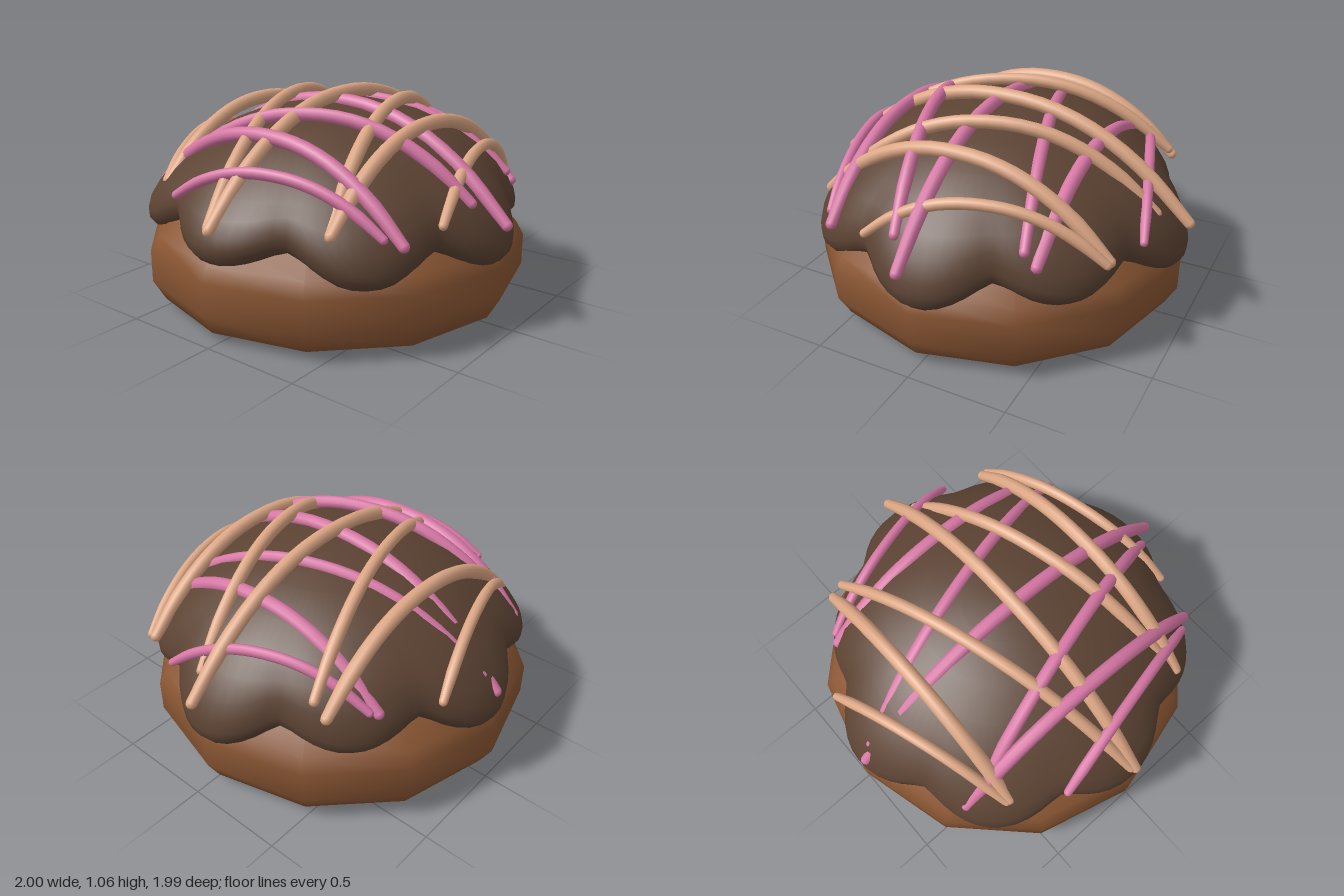
import * as THREE from 'three';
import { mergeGeometries, mergeVertices } from 'three/addons/utils/BufferGeometryUtils.js';

const material = (name, color) => {
  const m = new THREE.MeshStandardMaterial({ color });
  m.name = name;
  return m;
};

const profile = (pts) => pts.map(([r, y]) => new THREE.Vector2(r, y));

// Twelve-sided bun with a flat bottom
function bunGeometry() {
  return new THREE.LatheGeometry(profile([
    [0, 0], [0.78, 0], [0.91, 0.045], [0.97, 0.15], [0.97, 0.31],
    [0.93, 0.38], [0.85, 0.47], [0.72, 0.57], [0.45, 0.68], [0, 0.72],
  ]), 12);
}

// Icing dome: each ring is [radius, height, radial lobe weight, vertical lobe weight]
function icingGeometry() {
  const rings = [
    [0.78, 0.41, 1, 1], [0.87, 0.348, 1, 1], [0.91, 0.35, 1, 1], [0.937, 0.385, 1, 1],
    [0.94, 0.43, 1, 0.95], [0.927, 0.49, 0.95, 0.8], [0.89, 0.57, 0.75, 0.5],
    [0.82, 0.665, 0.4, 0.2], [0.71, 0.765, 0.12, 0], [0.57, 0.855, 0, 0],
    [0.4, 0.925, 0, 0], [0.2, 0.97, 0, 0], [0, 0.985, 0, 0],
  ];
  // Eight drips, counted from +x towards +z
  const reach = [0.97, 0.93, 0.965, 0.97, 0.97, 0.98, 0.975, 0.9];
  const bottom = [0.32, 0.37, 0.33, 0.34, 0.39, 0.38, 0.35, 0.375];
  const blend = (list, u) => {
    const i = Math.floor(u), f = THREE.MathUtils.smoothstep(u - i, 0, 1);
    return list[i % 8] * (1 - f) + list[(i + 1) % 8] * f;
  };
  const geo = new THREE.LatheGeometry(profile(rings), 96);
  const pos = geo.attributes.position;
  for (let i = 0; i < pos.count; i++) {
    const [r, y, kr, ky] = rings[i % rings.length];
    const a = Math.atan2(pos.getZ(i), pos.getX(i));
    const u = ((a / (Math.PI / 4)) + 8 + 1e-6) % 8;
    const valley = 1 - Math.min(1, Math.sqrt(Math.cos(4 * a) ** 2 + 0.02));
    const radius = r + kr * (blend(reach, u) - 0.94 - 0.11 * valley);
    const height = y + ky * (blend(bottom, u) - 0.35 + 0.12 * valley);
    if (r === 0) pos.setXYZ(i, 0, height, 0);
    else pos.setXYZ(i, radius * Math.cos(a), height, radius * Math.sin(a));
  }
  geo.deleteAttribute('normal');
  geo.deleteAttribute('uv');
  const merged = mergeVertices(geo, 1e-4);
  merged.computeVertexNormals();
  return merged;
}

// Arched drizzle strand, slightly thinner at its rounded ends
function strandGeometry([x0, y0, z0], [x1, y1, z1], apex, radius) {
  const points = [];
  for (let i = 0; i <= 10; i++) {
    const t = i / 10, s = Math.abs(2 * t - 1);
    points.push(new THREE.Vector3(
      x0 + (x1 - x0) * t,
      y0 + (y1 - y0) * t + (apex - (y0 + y1) / 2) * (1 - s ** 2.2),
      z0 + (z1 - z0) * t,
    ));
  }
  const curve = new THREE.CatmullRomCurve3(points);
  const n = 24, sides = 10;
  const tube = new THREE.TubeGeometry(curve, n, radius, sides);
  const pos = tube.attributes.position, v = new THREE.Vector3();
  for (let i = 0; i < pos.count; i++) {
    const t = Math.floor(i / (sides + 1)) / n;
    const c = curve.getPointAt(t);
    const taper = Math.min(1, 0.75 + Math.min(t, 1 - t) * 2);
    v.fromBufferAttribute(pos, i).sub(c).multiplyScalar(taper).add(c);
    pos.setXYZ(i, v.x, v.y, v.z);
  }
  const caps = [points[0], points[10]].map((p) =>
    new THREE.SphereGeometry(radius * 0.75, 10, 8).translate(p.x, p.y, p.z));
  return mergeGeometries([tube, ...caps]);
}

export function createModel() {
  const model = new THREE.Group();
  model.name = 'icedBun';
  const bunBrown = material('bun brown', 0x8a5633);
  const chocolate = material('chocolate icing', 0x5c4333);
  const caramel = material('caramel drizzle', 0xdca684);
  const pink = material('pink drizzle', 0xd676a4);

  const add = (name, geo, mat, parent = model) => {
    const mesh = new THREE.Mesh(geo, mat);
    mesh.name = name;
    parent.add(mesh);
    return mesh;
  };

  add('bun', bunGeometry(), bunBrown).position.set(-0.03, 0, -0.03);
  add('icing', icingGeometry(), chocolate).position.set(-0.01, 0, -0.02);

  // Strands: start, end, apex height, thickness
  const drizzles = {
    caramelDrizzle: [caramel, [
      [[-0.33, 0.57, 0.8], [0.76, 0.56, 0.53], 0.79, 0.028],
      [[-0.74, 0.57, 0.5], [0.76, 0.56, 0.5], 0.925, 0.036],
      [[-0.73, 0.57, 0.48], [0.83, 0.61, 0.08], 1.0, 0.033],
      [[-0.965, 0.55, 0], [0.97, 0.55, 0], 1.022, 0.036],
      [[-0.95, 0.56, -0.02], [0.7, 0.67, -0.5], 1.0, 0.031],
      [[-0.68, 0.61, -0.57], [0.7, 0.61, -0.57], 0.93, 0.036],
      [[-0.68, 0.61, -0.59], [0.27, 0.6, -0.88], 0.8, 0.027],
    ]],
    pinkDrizzle: [pink, [
      [[-0.84, 0.62, -0.34], [-0.61, 0.56, 0.68], 0.775, 0.028],
      [[-0.56, 0.56, -0.74], [-0.56, 0.53, 0.75], 0.895, 0.036],
      [[-0.57, 0.57, -0.7], [-0.14, 0.63, 0.83], 0.975, 0.033],
      [[-0.05, 0.5, -0.965], [-0.05, 0.53, 0.965], 0.99, 0.036],
      [[-0.02, 0.58, -0.9], [0.44, 0.63, 0.7], 0.96, 0.031],
      [[0.5, 0.58, -0.7], [0.5, 0.57, 0.7], 0.875, 0.036],
      [[0.54, 0.6, -0.68], [0.84, 0.56, 0.28], 0.77, 0.026],
    ]],
  };
  for (const [name, [mat, strands]] of Object.entries(drizzles)) {
    const group = new THREE.Group();
    group.name = name;
    strands.forEach((s, i) => add(`${name}Strand${i + 1}`, strandGeometry(...s), mat, group));
    model.add(group);
  }
  return model;
}
